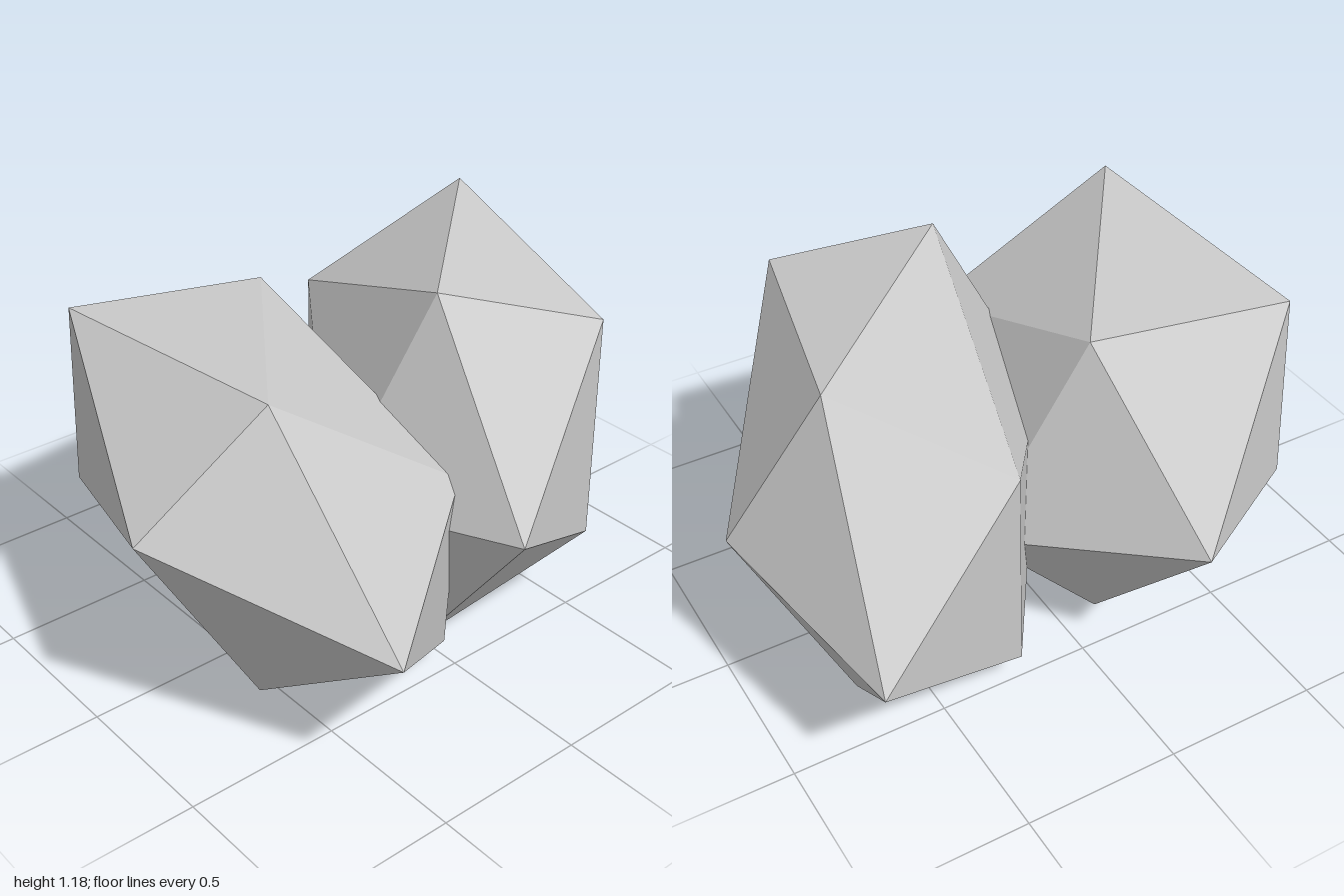
import * as THREE from 'three';

// A stretched icosahedron: an apex, the ring of five corners around it
// (counter-clockwise from outside), and the mirror image of both through the centre.
function makeRock(name, center, apexOffset, ringOffsets) {
  const apex = new THREE.Vector3(...apexOffset);
  const ring = ringOffsets.map((p) => new THREE.Vector3(...p));
  const positions = [];
  const addFacePair = (a, b, c) => {
    for (const v of [a, b, c]) positions.push(...v.toArray());
    for (const v of [c, b, a]) positions.push(...v.clone().negate().toArray());
  };
  for (let i = 0; i < 5; i++) {
    const a = ring[i];
    const b = ring[(i + 1) % 5];
    const opposite = ring[(i + 3) % 5].clone().negate();
    addFacePair(apex, a, b); // cap
    addFacePair(b, a, opposite); // side band
  }
  const geometry = new THREE.BufferGeometry();
  geometry.setAttribute('position', new THREE.Float32BufferAttribute(positions, 3));
  geometry.computeVertexNormals();
  const mesh = new THREE.Mesh(
    geometry,
    new THREE.MeshStandardMaterial({ color: 0xcccccc, flatShading: true })
  );
  mesh.name = name;
  mesh.position.set(...center);
  return mesh;
}

export function createModel() {
  const group = new THREE.Group();
  group.name = 'rocks';

  group.add(makeRock('frontRock', [0, 0.592, 0.365], [0.29, 0.17, 0.635], [
    [0.925, -0.06, 0.235],
    [0.41, 0.525, 0.265],
    [-0.49, 0.49, 0.325],
    [-0.53, -0.12, 0.325],
    [0.34, -0.465, 0.275],
  ]));

  group.add(makeRock('backRock', [0, 0.59, -0.385], [0.285, 0.588, 0.305], [
    [0.54, 0.46, -0.135],
    [-0.33, 0.59, -0.36],
    [-0.565, 0.27, 0.11],
    [0.16, -0.06, 0.615],
    [0.835, 0.05, 0.46],
  ]));

  return group;
}
